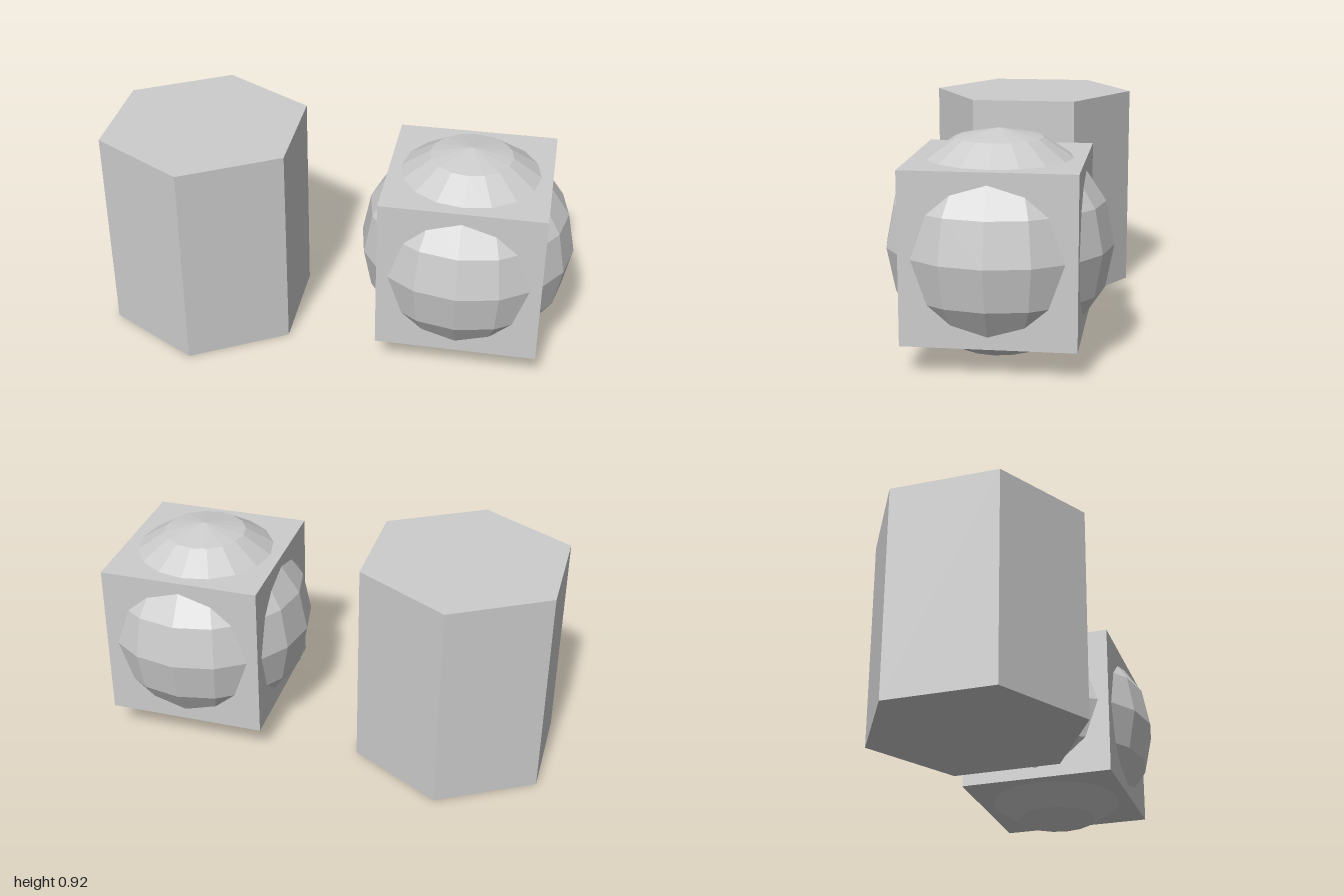
import * as THREE from 'three';

export function createModel() {
  const model = new THREE.Group();
  const grey = new THREE.MeshStandardMaterial({ color: 0xcccccc, flatShading: true });
  grey.name = 'plain grey';

  const R = 0.4575; // shared radius of prism and ball, half the height

  function add(name, geometry, x) {
    const mesh = new THREE.Mesh(geometry, grey);
    mesh.name = name;
    mesh.position.set(x, R, 0);
    model.add(mesh);
  }

  // Six-sided prism with corners towards front and back
  add('hexagonalPrism', new THREE.CylinderGeometry(R, R, 2 * R, 6), -0.604);

  // Cube with a faceted ball bulging out of all six faces
  add('cube', new THREE.BoxGeometry(1.5 * R, 1.5 * R, 1.5 * R), 1 - R);
  add('ball', new THREE.SphereGeometry(R, 16, 8), 1 - R);

  return model;
}
